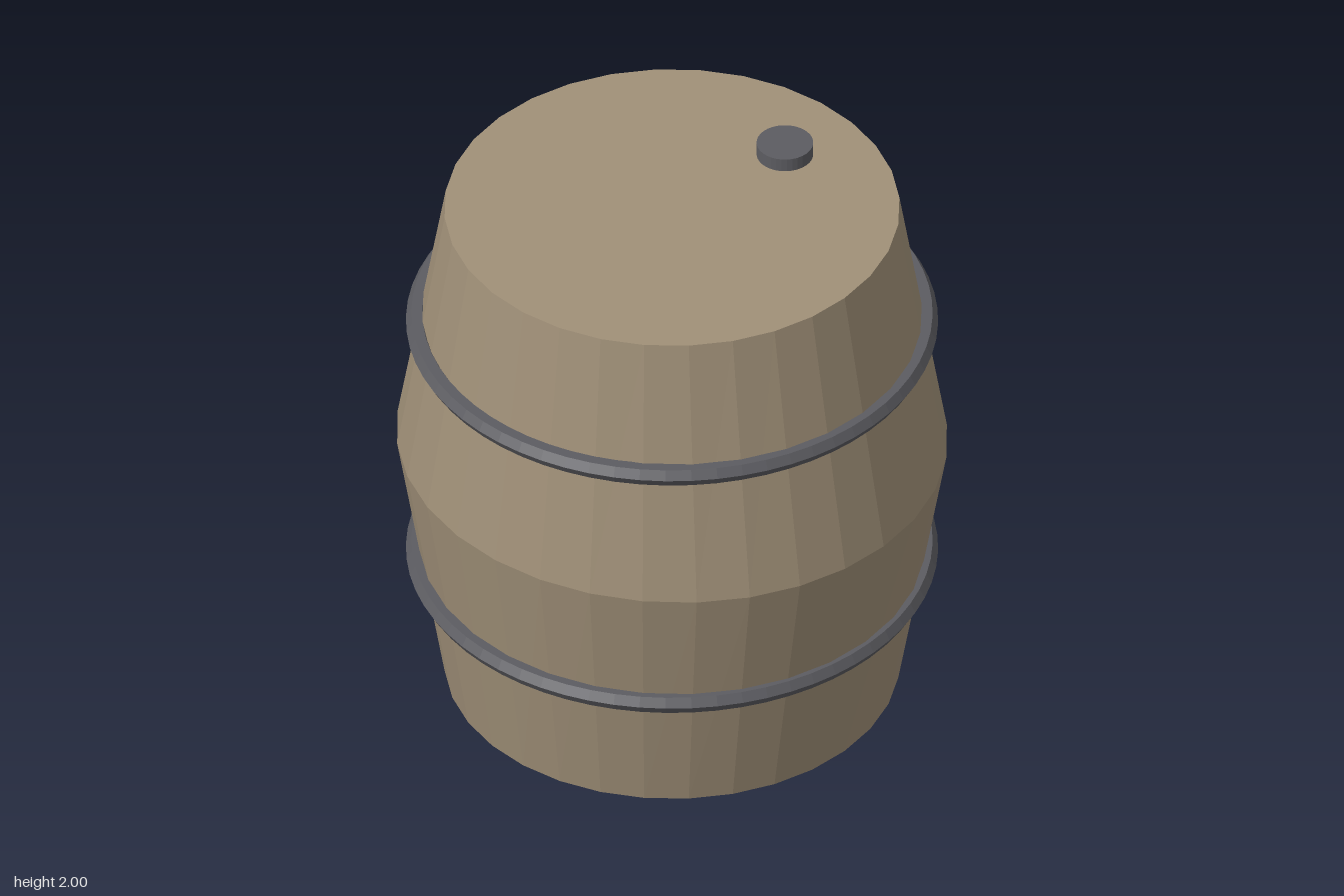
import * as THREE from 'three';

const H = 1.95;

function mat(name, color, flatShading = true) {
  const m = new THREE.MeshStandardMaterial({ color, flatShading });
  m.name = name;
  return m;
}

export function createModel() {
  const barrel = new THREE.Group();
  barrel.name = 'barrel';
  const wood = mat('wood', 0xa09078);
  const metal = mat('darkMetal', 0x5c5c61);

  const add = (name, geometry, material, x, y, z) => {
    const mesh = new THREE.Mesh(geometry, material);
    mesh.name = name;
    mesh.position.set(x, y, z);
    barrel.add(mesh);
    return mesh;
  };

  // Bulging body with closed ends; the belly is slightly narrower front to back
  const body = new THREE.CylinderGeometry(0.78, 0.78, H, 32, 2);
  const p = body.attributes.position;
  for (let i = 0; i < p.count; i++) {
    if (Math.abs(p.getY(i)) < 0.01) {
      p.setX(i, p.getX(i) * 0.963 / 0.78);
      p.setZ(i, p.getZ(i) * 0.932 / 0.78);
    }
  }
  body.computeVertexNormals();
  add('body', body, wood, 0, H / 2, 0);

  // Two hoops with a six-sided section
  const hoop = new THREE.TorusGeometry(0.873, 0.0375, 6, 64);
  hoop.rotateX(Math.PI / 2);
  add('lowerHoop', hoop, metal, 0, 0.488, 0);
  add('upperHoop', hoop, metal, 0, 1.467, 0);

  // Stopper in the lid, towards the back
  add('stopper', new THREE.CylinderGeometry(0.097, 0.097, 0.06, 32), metal, 0, 1.97, -0.49);

  return barrel;
}
